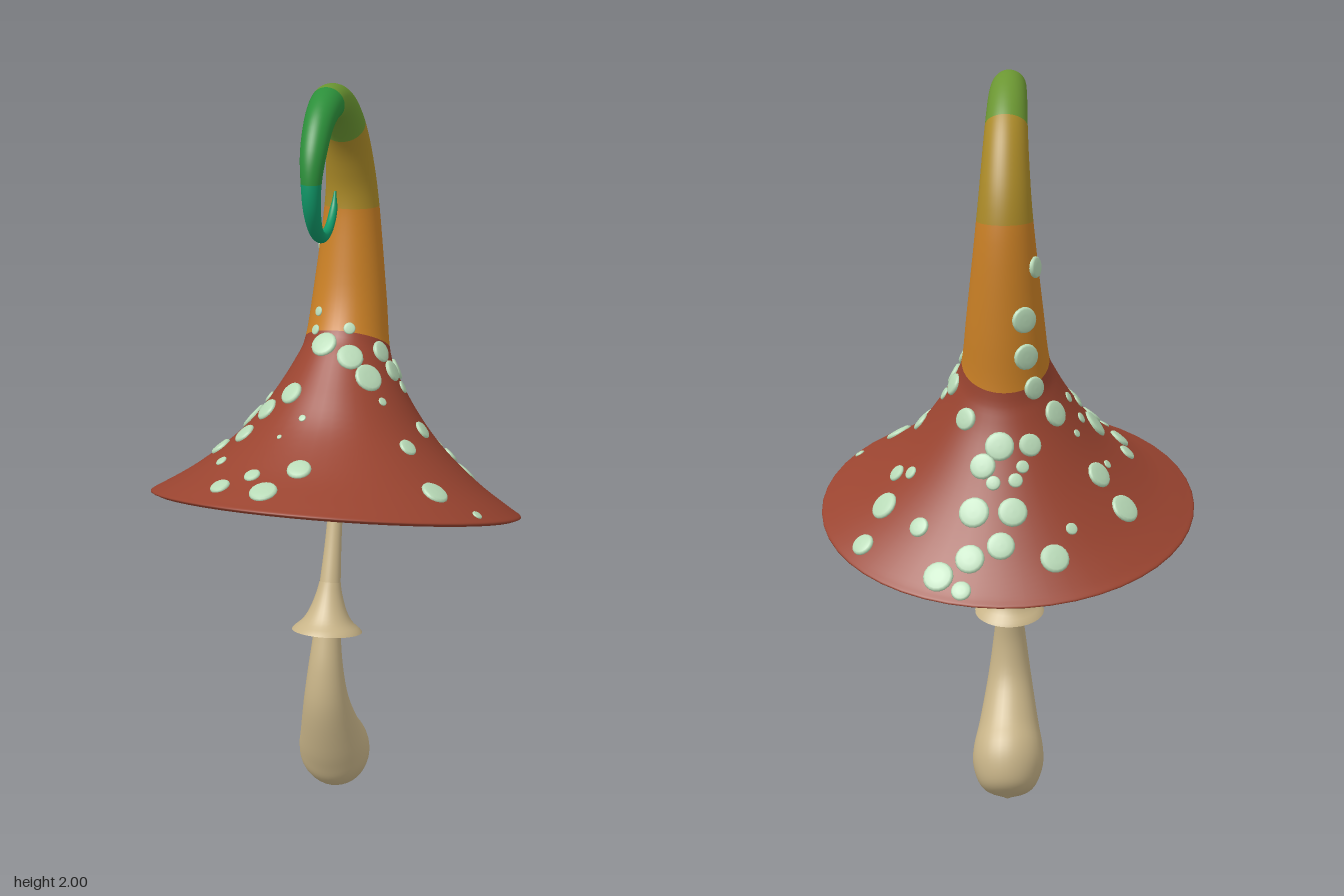
import * as THREE from 'three';

const mat = (name, color, side = THREE.FrontSide) => {
  const m = new THREE.MeshStandardMaterial({ color, side });
  m.name = name;
  return m;
};

// Sections are [z, y, radius, tilt in degrees, sideways scale]; returns point(t, a) on the swept tube.
function sweep(sections) {
  const path = new THREE.CatmullRomCurve3(
    sections.map(([z, y, , , w = 1]) => new THREE.Vector3(w, y, z)), false, 'catmullrom', 0.5);
  const size = new THREE.SplineCurve(sections.map(s => new THREE.Vector2(s[2], s[3])));
  return (t, a) => {
    const c = path.getPoint(t), s = size.getPoint(t);
    const r = Math.max(s.x, 0.001), tilt = s.y * Math.PI / 180, f = r * Math.cos(a);
    return new THREE.Vector3(c.x * r * Math.sin(a), c.y + f * Math.sin(tilt), c.z + f * Math.cos(tilt));
  };
}

// Skin a sweep with quads; seam vertices are shared so it stays smooth.
function loft(sections, perSpan = 4, segs = 48) {
  const point = sweep(sections), rows = (sections.length - 1) * perSpan;
  const pos = [], idx = [];
  for (let i = 0; i <= rows; i++) {
    for (let j = 0; j < segs; j++) pos.push(...point(i / rows, j / segs * Math.PI * 2).toArray());
  }
  for (let i = 0; i < rows; i++) {
    for (let j = 0; j < segs; j++) {
      const a = i * segs + j, b = i * segs + (j + 1) % segs;
      idx.push(a, b, b + segs, a, b + segs, a + segs);
    }
  }
  const g = new THREE.BufferGeometry();
  g.setAttribute('position', new THREE.Float32BufferAttribute(pos, 3));
  g.setIndex(idx);
  g.computeVertexNormals();
  return g;
}

const HAT = [
  [0.004, 0.842, 0.488, 17.5], [0.004, 0.851, 0.502, 17.5], [-0.002, 0.869, 0.474, 17.7],
  [-0.035, 0.925, 0.39, 19, 0.97], [-0.068, 1.015, 0.293, 21, 0.92],
  [-0.088, 1.11, 0.22, 24, 0.88], [-0.11, 1.2, 0.16, 29, 0.87], [-0.128, 1.265, 0.127, 31, 0.9],
  [-0.155, 1.405, 0.1, 25, 0.98], [-0.173, 1.635, 0.073, 4], [-0.145, 1.765, 0.062, -16],
  [-0.087, 1.865, 0.055, -39], [0, 1.935, 0.05, -70], [0.09, 1.955, 0.044, -100],
  [0.175, 1.925, 0.038, -128], [0.233, 1.86, 0.033, -155], [0.255, 1.79, 0.026, -180],
  [0.248, 1.72, 0.022, -205], [0.21, 1.66, 0.018, -235], [0.15, 1.628, 0.015, -268],
  [0.08, 1.633, 0.012, -300], [0.03, 1.67, 0.01, -330], [0.012, 1.715, 0.003, -355],
];
// Underside: [depth, radius] from the hollow out to the rim
const GILLS = [[0.31, 0.001], [0.29, 0.05], [0.23, 0.12], [0.145, 0.2], [0.07, 0.29], [0.03, 0.36], [0.008, 0.43], [0, 0.488]]
  .map(([d, r]) => [0.004 - 0.3 * d, 0.842 + 0.954 * d, r, 17.5]);
const STEM = [
  [-0.036, 0.012, 0.001, -30], [-0.027, 0.026, 0.052, -30], [-0.014, 0.05, 0.08, -30],
  [0.01, 0.094, 0.097, -30], [0.034, 0.14, 0.096, -30], [0.071, 0.2, 0.082, -27],
  [0.114, 0.31, 0.062, -9], [0.12, 0.41, 0.048, 3], [0.105, 0.5, 0.038, 13],
  [0.075, 0.62, 0.03, 17], [0.03, 0.76, 0.022, 17], [-0.01, 0.9, 0.02, 17], [-0.05, 1.1, 0.02, 17],
];
const SKIRT = [
  [0.105, 0.515, 0.096, 13], [0.1, 0.545, 0.066, 14], [0.088, 0.585, 0.045, 16], [0.07, 0.645, 0.029, 17],
];

// Spots on the brim: [x, z, radius]
const BRIM_SPOTS = [
  [-0.14, -0.378, 0.038], [-0.174, -0.33, 0.016], [-0.314, -0.198, 0.04], [-0.244, -0.177, 0.036],
  [-0.268, -0.118, 0.012], [-0.131, -0.185, 0.035], [-0.188, -0.15, 0.011], [-0.196, -0.088, 0.015],
  [-0.163, -0.094, 0.015], [-0.233, -0.011, 0.04], [-0.188, -0.011, 0.017], [-0.319, 0.013, 0.024],
  [-0.295, 0.083, 0.03], [-0.225, 0.113, 0.031], [-0.172, 0.078, 0.033], [-0.096, 0.091, 0.032],
  [-0.255, 0.217, 0.016], [-0.099, 0.204, 0.007], [-0.05, 0.164, 0.01], [-0.22, 0.351, 0.027],
  [-0.139, 0.324, 0.022], [-0.027, 0.316, 0.032], [-0.094, 0.4, 0.037], [0.319, 0.212, 0.037],
  [0.416, 0.212, 0.014], [0.223, 0.113, 0.025], [0.233, -0.011, 0.026], [0.097, 0.035, 0.039],
  [0.139, 0.059, 0.012], [0.161, -0.078, 0.018], [0.287, -0.131, 0.024], [0.316, -0.193, 0.039],
  [0.244, -0.177, 0.018], [0.365, -0.255, 0.031], [0.214, -0.303, 0.027], [0.161, -0.405, 0.04],
];
const BACK_SPOTS = [
  [0.083, -0.394, 0.038], [0.105, -0.437, 0.026], [0, -0.383, 0.036], [-0.024, -0.34, 0.038],
  [0.067, -0.335, 0.04], [0.051, -0.284, 0.034], [0.013, -0.268, 0.038], [-0.03, -0.303, 0.019],
  [0.027, -0.306, 0.019], [-0.07, -0.255, 0.03], [0.097, -0.22, 0.03], [-0.05, -0.284, 0.017],
];
// Spots on the steep cone: [x, y, z, radius]
const CONE_SPOTS = [
  [-0.037, 1.305, 0.01, 0.036], [0.042, 1.27, 0.02, 0.036], [0.03, 1.335, -0.03, 0.016],
  [-0.063, 1.37, -0.06, 0.013], [-0.085, 1.52, -0.2, 0.028], [-0.055, 1.39, -0.235, 0.034],
  [-0.06, 1.29, -0.23, 0.034], [-0.09, 1.21, -0.22, 0.03], [0.11, 1.27, -0.06, 0.03],
  [0.13, 1.21, -0.06, 0.03], [0.14, 1.2, -0.13, 0.03], [-0.08, 1.33, -0.03, 0.014],
];

export function createModel() {
  const model = new THREE.Group();
  model.name = 'curledMushroom';
  const red = mat('brick red', 0x9a4430), orange = mat('orange', 0xca8025), ochre = mat('ochre', 0xac8b28);
  const olive = mat('leaf green', 0x6b9632), green = mat('green', 0x2c8f3a), teal = mat('teal', 0x109868);
  const mint = mat('pale mint', 0xb8dab7, THREE.DoubleSide), tan = mat('tan', 0xc8b488, THREE.DoubleSide);
  const add = (name, geometry, material, parent = model) => {
    const m = new THREE.Mesh(geometry, material);
    m.name = name;
    parent.add(m);
    return m;
  };

  // Hat with colour bands along its length
  const hat = loft(HAT, 5), perSpan = 5 * 48 * 6;
  [0, 7, 9, 11, 13, 16, 22].forEach((from, i, cuts) => {
    if (i < 6) hat.addGroup(from * perSpan, (cuts[i + 1] - from) * perSpan, i);
  });
  add('hat', hat, [red, orange, ochre, olive, green, teal]);
  add('gills', loft(GILLS), mint);
  add('stem', loft(STEM, 4, 32), tan);
  add('stemSkirt', loft(SKIRT, 4, 32), tan);

  // Raised spots, each laid on the closest place of the hat
  const point = sweep(HAT), samples = [];
  for (let i = 22; i < 170; i++) {
    for (let j = 0; j < 120; j++) {
      const t = i / 400, a = j / 120 * Math.PI * 2;
      samples.push({ t, a, p: point(t, a) });
    }
  }
  const disc = new THREE.LatheGeometry(
    [[0.9, -0.4], [1, 0], [0.96, 0.16], [0.82, 0.27], [0.4, 0.31], [0, 0.32]].map(p => new THREE.Vector2(...p)), 18);
  const spots = new THREE.Group();
  spots.name = 'spots';
  model.add(spots);
  const up = new THREE.Vector3(0, 1, 0);
  const place = (x, y, z, r) => {
    let best, least = Infinity;
    for (const s of samples) {
      const d = (s.p.x - x) ** 2 + (s.p.z - z) ** 2 + (y === null ? 0 : (s.p.y - y) ** 2);
      if (d < least) { least = d; best = s; }
    }
    const { t, a, p } = best;
    const along = point(t + 0.002, a).sub(p), around = point(t, a + 0.02).sub(p);
    const spot = add('spot', disc, mint, spots);
    spot.position.copy(p);
    spot.quaternion.setFromUnitVectors(up, around.cross(along).normalize());
    spot.scale.set(r, Math.min(r, 0.03), r);
  };
  [...BRIM_SPOTS, ...BACK_SPOTS].forEach(([x, z, r]) => place(x, null, z, r));
  CONE_SPOTS.forEach(s => place(...s));
  return model;
}
